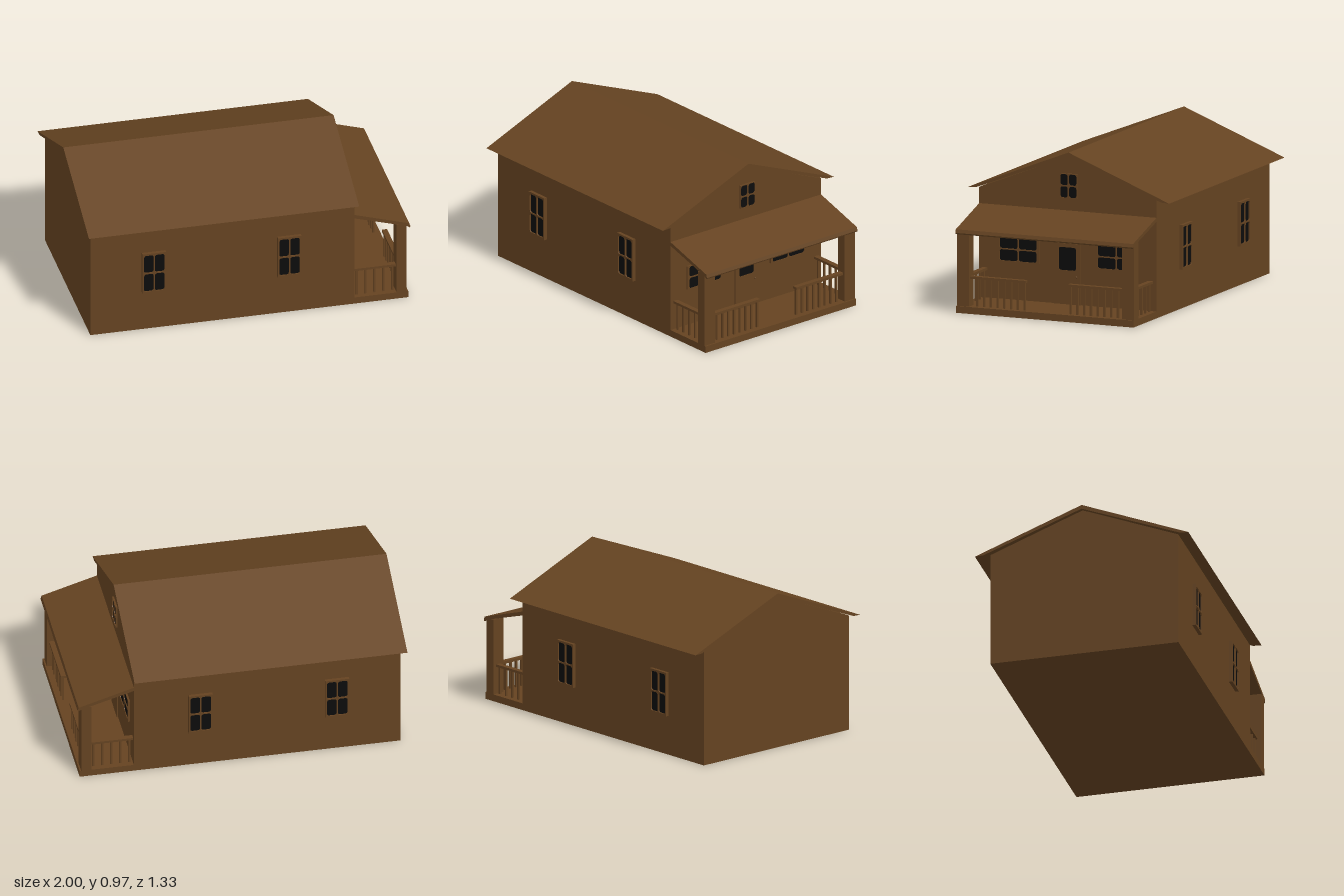
import * as THREE from 'three';

const wood = new THREE.MeshStandardMaterial({ color: 0x654321 });
wood.name = 'brownWood';
const dark = new THREE.MeshStandardMaterial({ color: 0x0c0c0c });
dark.name = 'darkGlass';

const MID = 0.01; // z of the house's centre line
const X0 = -0.975, X1 = 0.655, HALF = 0.585;

function add(parent, name, geometry, material = wood) {
  const mesh = new THREE.Mesh(geometry, material);
  mesh.name = name;
  parent.add(mesh);
  return mesh;
}

// Box given by its minimum and maximum corners
function box(parent, name, a, b, material = wood) {
  const mesh = add(parent, name, new THREE.BoxGeometry(b[0] - a[0], b[1] - a[1], b[2] - a[2]), material);
  mesh.position.set((a[0] + b[0]) / 2, (a[1] + b[1]) / 2, (a[2] + b[2]) / 2);
  return mesh;
}

function polygon(points) {
  return new THREE.Shape(points.map(([x, y]) => new THREE.Vector2(x, y)));
}

function roundedRect(path, x, y, w, h, r) {
  path.moveTo(x + r, y);
  path.lineTo(x + w - r, y);
  path.absarc(x + w - r, y + r, r, -Math.PI / 2, 0);
  path.lineTo(x + w, y + h - r);
  path.absarc(x + w - r, y + h - r, r, 0, Math.PI / 2);
  path.lineTo(x + r, y + h);
  path.absarc(x + r, y + h - r, r, Math.PI / 2, Math.PI);
  path.lineTo(x, y + r);
  path.absarc(x + r, y + r, r, Math.PI, Math.PI * 1.5);
  return path;
}

// Frame with rounded openings over a dark pane; faces +z, back on z = 0
function framedPanel(name, w, h, depth, opening, n, bar, radius) {
  const g = new THREE.Group();
  g.name = name;
  const shape = polygon([[-w / 2, -h / 2], [w / 2, -h / 2], [w / 2, h / 2], [-w / 2, h / 2]]);
  const pw = (opening.w - bar * (n - 1)) / n, ph = (opening.h - bar * (n - 1)) / n;
  for (let i = 0; i < n; i++) for (let j = 0; j < n; j++) {
    shape.holes.push(roundedRect(new THREE.Path(),
      -opening.w / 2 + i * (pw + bar), opening.y - opening.h / 2 + j * (ph + bar), pw, ph, radius));
  }
  add(g, 'frame', new THREE.ExtrudeGeometry(shape, { depth, bevelEnabled: false, curveSegments: 5 }));
  box(g, 'glass', [-opening.w / 2, opening.y - opening.h / 2, 0.001],
    [opening.w / 2, opening.y + opening.h / 2, depth * 0.6], dark);
  return g;
}

function windowUnit(name, w, h, depth, border) {
  return framedPanel(name, w, h, depth, { w: w - 2 * border[0], h: h - 2 * border[1], y: 0 }, 2, 0.008, 0.014);
}

// Extrusion along +x of a profile drawn in (z, y)
function alongX(points, x0, x1) {
  const geo = new THREE.ExtrudeGeometry(polygon(points.map(([z, y]) => [-z, y])), { depth: x1 - x0, bevelEnabled: false });
  return geo.rotateY(Math.PI / 2).translate(x0, 0, 0);
}

export function createModel() {
  const house = new THREE.Group();
  house.name = 'cabin';

  // Walls with gables
  const zF = MID + HALF, zB = MID - HALF;
  add(house, 'walls', alongX([[zF, 0], [zF, 0.713], [0, 0.946], [zB, 0.719], [zB, 0]], X0, X1));

  // Gabled roof slabs
  add(house, 'mainRoof', alongX([
    [0.664, 0.709], [0, 0.97], [-0.664, 0.709], [-0.61, 0.712], [0, 0.945], [0.61, 0.712],
  ], -1, 0.668));

  // Long-side windows
  for (const x of [-0.585, 0.25]) {
    const front = windowUnit('frontWindow', 0.146, 0.272, 0.022, [0.01, 0.012]);
    front.position.set(x, 0.391, zF);
    const back = windowUnit('backWindow', 0.146, 0.272, 0.02, [0.01, 0.012]);
    back.position.set(x, 0.378, zB);
    back.rotation.y = Math.PI;
    house.add(front, back);
  }

  // Porch-side windows, gable window and door
  const porchSide = (part, y, z) => {
    part.position.set(X1, y, z);
    part.rotation.y = Math.PI / 2;
    house.add(part);
  };
  for (const s of [1, -1]) {
    porchSide(windowUnit('porchWindow', 0.276, 0.15, 0.012, [0.016, 0.004]), 0.35, MID + s * 0.324);
  }
  porchSide(windowUnit('gableWindow', 0.114, 0.15, 0.012, [0.004, 0.004]), 0.765, 0.002);
  const door = framedPanel('door', 0.175, 0.371, 0.008, { w: 0.114, h: 0.14, y: 0.092 }, 1, 0, 0.014);
  const knob = add(door, 'doorKnob', new THREE.SphereGeometry(0.006, 10, 8));
  knob.position.set(0.062, -0.015, 0.013);
  porchSide(door, 0.2275, MID);

  // Porch floor, sloping roof and front fascia
  const porch = new THREE.Group();
  porch.name = 'porch';
  house.add(porch);
  box(porch, 'porchFloor', [X1, 0, zB], [0.987, 0.042, zF]);
  const slope = polygon([[X1, 0.59], [0.98, 0.494], [0.996, 0.482], [1, 0.49], [0.993, 0.511], [X1, 0.614]]);
  add(porch, 'porchRoof', new THREE.ExtrudeGeometry(slope, { depth: 2 * HALF, bevelEnabled: false }).translate(0, 0, zB));

  // Posts and railings, mirrored about the centre line
  const rail = (name, x0, x1, z0, z1) => box(porch, name, [x0, 0.21, Math.min(z0, z1)], [x1, 0.225, Math.max(z0, z1)]);
  const baluster = (x, z) => box(porch, 'baluster', [x - 0.006, 0.042, z - 0.006], [x + 0.006, 0.212, z + 0.006]);
  for (const s of [1, -1]) {
    const at = (d) => MID + s * d;
    const post = add(porch, 'porchPost', new THREE.BoxGeometry(0.062, 0.468, 0.081));
    post.position.set(0.946, 0.274, at(0.5445));
    rail('frontRail', 0.93, 0.962, at(0.14), at(0.505));
    rail('sideRail', X1, 0.916, at(0.53), at(0.562));
    for (let i = 0; i < 8; i++) baluster(0.946, at(0.152 + i * 0.0446));
    for (let i = 0; i < 5; i++) baluster(0.677 + i * 0.055, at(0.546));
  }
  return house;
}
